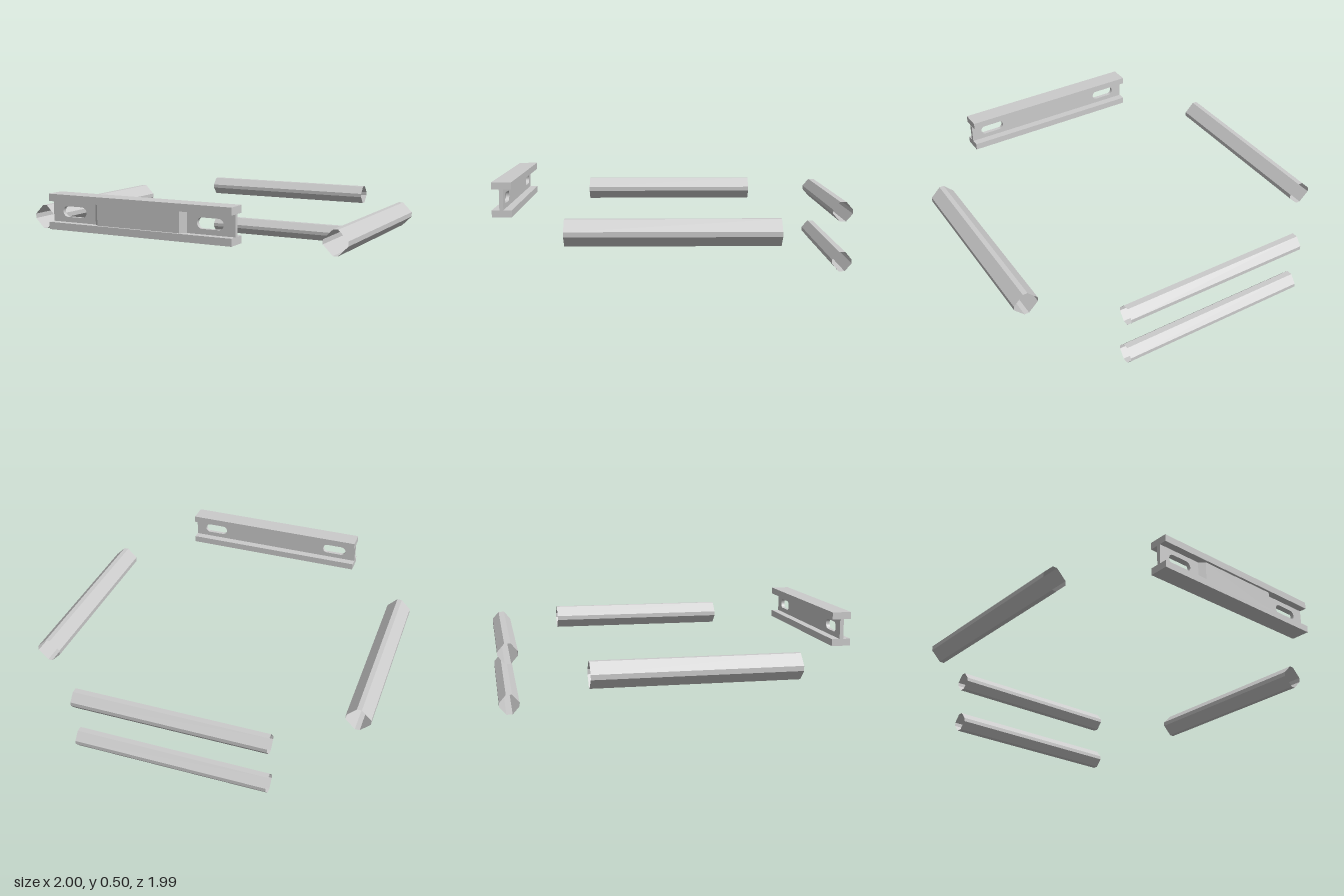
import * as THREE from 'three';

const solid = new THREE.MeshStandardMaterial({ color: 0xcccccc, flatShading: true });
const sheet = new THREE.MeshStandardMaterial({ color: 0xcccccc, flatShading: true, side: THREE.DoubleSide });

// Shape from a list of [x, y] corners
function polygon(points) {
  return new THREE.Shape(points.map(([x, y]) => new THREE.Vector2(x, y)));
}

function addMesh(parent, name, geometry, material = solid) {
  const mesh = new THREE.Mesh(geometry, material);
  mesh.name = name;
  parent.add(mesh);
  return mesh;
}

// Open eight-sided tube along z; flatX and flatY are the half widths of its narrow flats
function tubeGeometry(radius, flatX, flatY, length) {
  const r = radius, h = length / 2;
  const ring = [
    [r, -flatY], [r, flatY], [flatX, r], [-flatX, r],
    [-r, flatY], [-r, -flatY], [-flatX, -r], [flatX, -r],
  ];
  const positions = [];
  ring.forEach(([ax, ay], i) => {
    const [bx, by] = ring[(i + 1) % ring.length];
    positions.push(ax, ay, h, ax, ay, -h, bx, by, -h);
    positions.push(ax, ay, h, bx, by, -h, bx, by, h);
  });
  const geometry = new THREE.BufferGeometry();
  geometry.setAttribute('position', new THREE.Float32BufferAttribute(positions, 3));
  geometry.computeVertexNormals();
  return geometry;
}

// Rounded slot for the web
function slot(cx, halfStraight, r) {
  const path = new THREE.Path();
  path.absarc(cx + halfStraight, 0, r, -Math.PI / 2, Math.PI / 2, false);
  path.absarc(cx - halfStraight, 0, r, Math.PI / 2, Math.PI * 1.5, false);
  path.closePath();
  return path;
}

export function createModel() {
  const model = new THREE.Group();
  model.name = 'frameRails';
  const length = 1.11, half = length / 2;

  // Side tubes
  for (const [name, x] of [['leftTube', 0.93], ['rightTube', -0.93]]) {
    const tube = addMesh(model, name, tubeGeometry(0.07, 0.0135, 0.0135, length), sheet);
    tube.position.set(x, 0.287, 0.004);
  }

  // Two rear tubes, one above the other
  for (const [name, y] of [['lowerRearTube', 0.055], ['upperRearTube', 0.335]]) {
    const tube = addMesh(model, name, tubeGeometry(0.055, 0.017, 0.011, length), sheet);
    tube.rotation.y = Math.PI / 2;
    tube.position.set(0, y, -0.94);
  }

  // Front beam: flanges, slotted web and raised centre pad
  const beam = new THREE.Group();
  beam.name = 'frontBeam';
  beam.position.set(0, 0.404, 0.938);
  model.add(beam);

  for (const [name, y] of [['upperFlange', 0.077], ['lowerFlange', -0.077]]) {
    addMesh(beam, name, new THREE.BoxGeometry(length, 0.04, 0.11)).position.y = y;
  }

  const webShape = polygon([[-half, -0.058], [half, -0.058], [half, 0.058], [-half, 0.058]]);
  webShape.holes.push(slot(-0.415, 0.047, 0.029), slot(0.415, 0.047, 0.029));
  const web = new THREE.ExtrudeGeometry(webShape, { depth: 0.022, bevelEnabled: false, curveSegments: 8 });
  addMesh(beam, 'web', web).position.z = -0.009;

  const padShape = polygon([[-0.28, 0], [0.28, 0], [0.25, 0.028], [-0.25, 0.028]]);
  const pad = new THREE.ExtrudeGeometry(padShape, { depth: 0.116, bevelEnabled: false });
  pad.rotateX(Math.PI / 2);
  addMesh(beam, 'centrePad', pad).position.set(0, 0.058, 0.013);

  return model;
}
